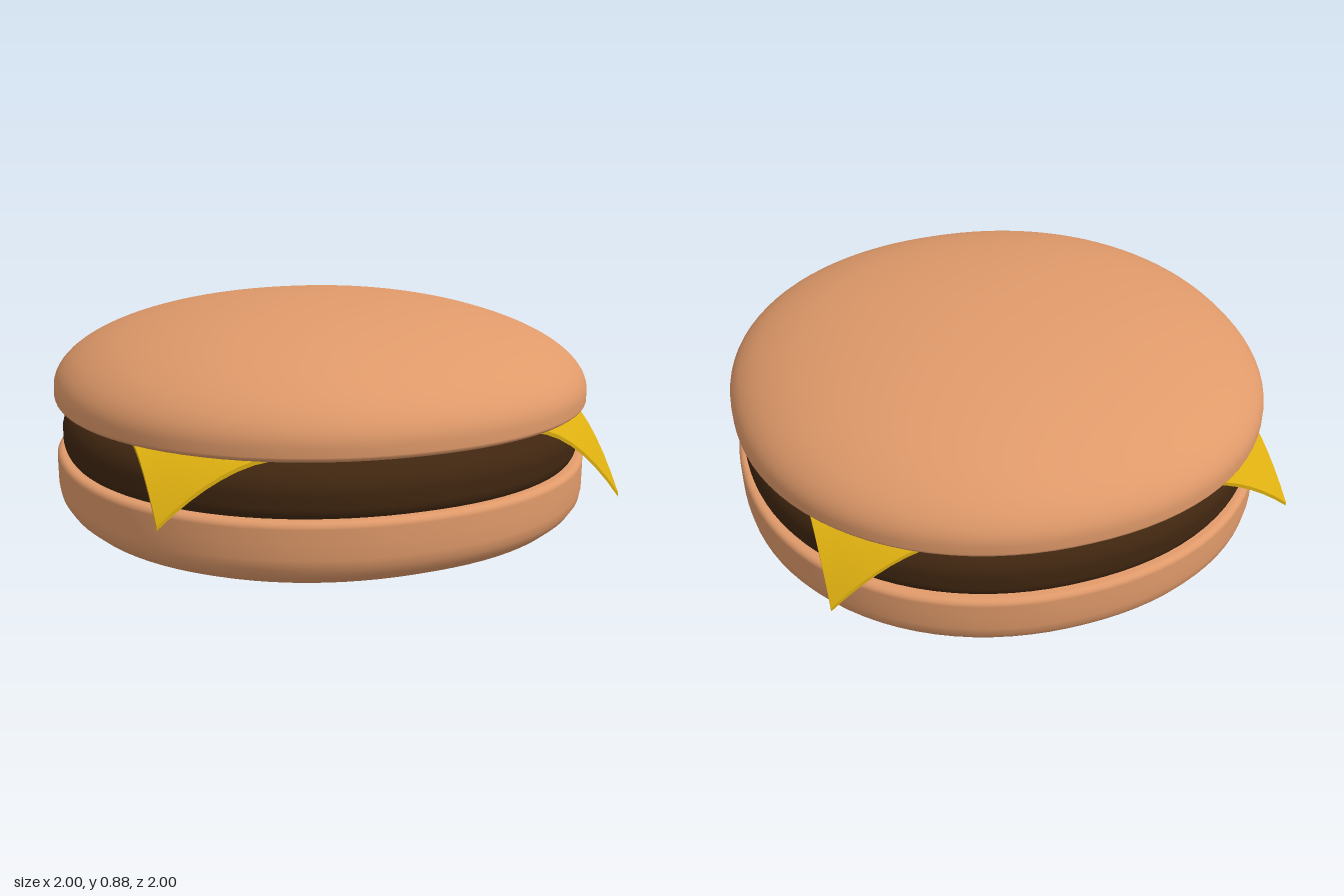
import * as THREE from 'three';
import { mergeVertices } from 'three/addons/utils/BufferGeometryUtils.js';

const BUN = 0xe09a6a, PATTY = 0x402610, CHEESE = 0xdcae10;

const v = (x, y) => new THREE.Vector2(x, y);

// Smooth round layer: profile runs from the bottom centre to the top centre,
// with the outline squared off very slightly.
function layer(name, profile, color) {
  const geo = new THREE.LatheGeometry(profile, 96);
  const pos = geo.attributes.position;
  const n = 2.13;
  for (let i = 0; i < pos.count; i++) {
    const x = pos.getX(i), z = pos.getZ(i), r = Math.hypot(x, z);
    if (r < 1e-5) continue;
    const k = (Math.abs(x / r) ** n + Math.abs(z / r) ** n) ** (-1 / n);
    pos.setXYZ(i, x * k, pos.getY(i), z * k);
  }
  // weld the seam and poles so the shading stays continuous
  geo.deleteAttribute('uv');
  geo.deleteAttribute('normal');
  const welded = mergeVertices(geo, 1e-4);
  welded.computeVertexNormals();
  const mesh = new THREE.Mesh(welded, new THREE.MeshStandardMaterial({ color }));
  mesh.name = name;
  return mesh;
}

// Quarter arc of an ellipse, angles in degrees
function arc(cx, cy, rx, ry, from, to, steps) {
  return Array.from({ length: steps + 1 }, (_, i) => {
    const a = THREE.MathUtils.degToRad(from + (to - from) * i / steps);
    return v(Math.max(0, cx + rx * Math.cos(a)), cy + ry * Math.sin(a));
  });
}

// Thin square slice whose four corners droop; one corner hangs lower
function cheeseSlice() {
  const half = 0.826;
  const geo = new THREE.BoxGeometry(half * 2, 0.014, half * 2, 32, 1, 32);
  const pos = geo.attributes.position;
  for (let i = 0; i < pos.count; i++) {
    const x = pos.getX(i), z = pos.getZ(i);
    const t = Math.max(0, (Math.abs(x) + Math.abs(z) - 1.28) / (half * 2 - 1.28));
    const drop = x > 0 && z > 0 ? 0.27 : 0.18;
    pos.setY(i, pos.getY(i) + 0.505 - drop * t ** 1.8);
  }
  geo.computeVertexNormals();
  const mesh = new THREE.Mesh(geo, new THREE.MeshStandardMaterial({ color: CHEESE }));
  mesh.name = 'cheeseSlice';
  return mesh;
}

export function createModel() {
  const group = new THREE.Group();
  group.name = 'burger';

  // bottom bun: shallow curved base, upright side, flat top with a small rounded rim
  group.add(layer('bottomBun', [
    v(0, 0.003), v(0.25, 0.007), v(0.45, 0.016), v(0.6, 0.028), v(0.72, 0.042),
    v(0.82, 0.06), v(0.89, 0.08), v(0.94, 0.104), v(0.975, 0.135), v(0.994, 0.165),
    v(1, 0.2), v(1, 0.25),
    ...arc(0.978, 0.3, 0.022, 0.022, 0, 90, 5),
    v(0.95, 0.322), v(0.6, 0.322), v(0, 0.322),
  ], BUN));

  // patty: thick disc with a bulging edge
  group.add(layer('patty', [
    v(0, 0.3), v(0.85, 0.3),
    ...arc(0.915, 0.36, 0.06, 0.06, -90, 0, 8),
    ...arc(0.865, 0.4, 0.11, 0.097, 0, 90, 10),
    v(0.8, 0.498), v(0, 0.498),
  ], PATTY));

  group.add(cheeseSlice());

  // top bun: flat underside, tight lower rim, domed crown
  group.add(layer('topBun', [
    v(0, 0.508), v(0.6, 0.508), v(0.9, 0.508),
    ...arc(0.96, 0.53, 0.04, 0.022, -90, 0, 6),
    ...arc(0, 0.56, 1, 0.324, 0, 90, 32),
  ], BUN));

  return group;
}
